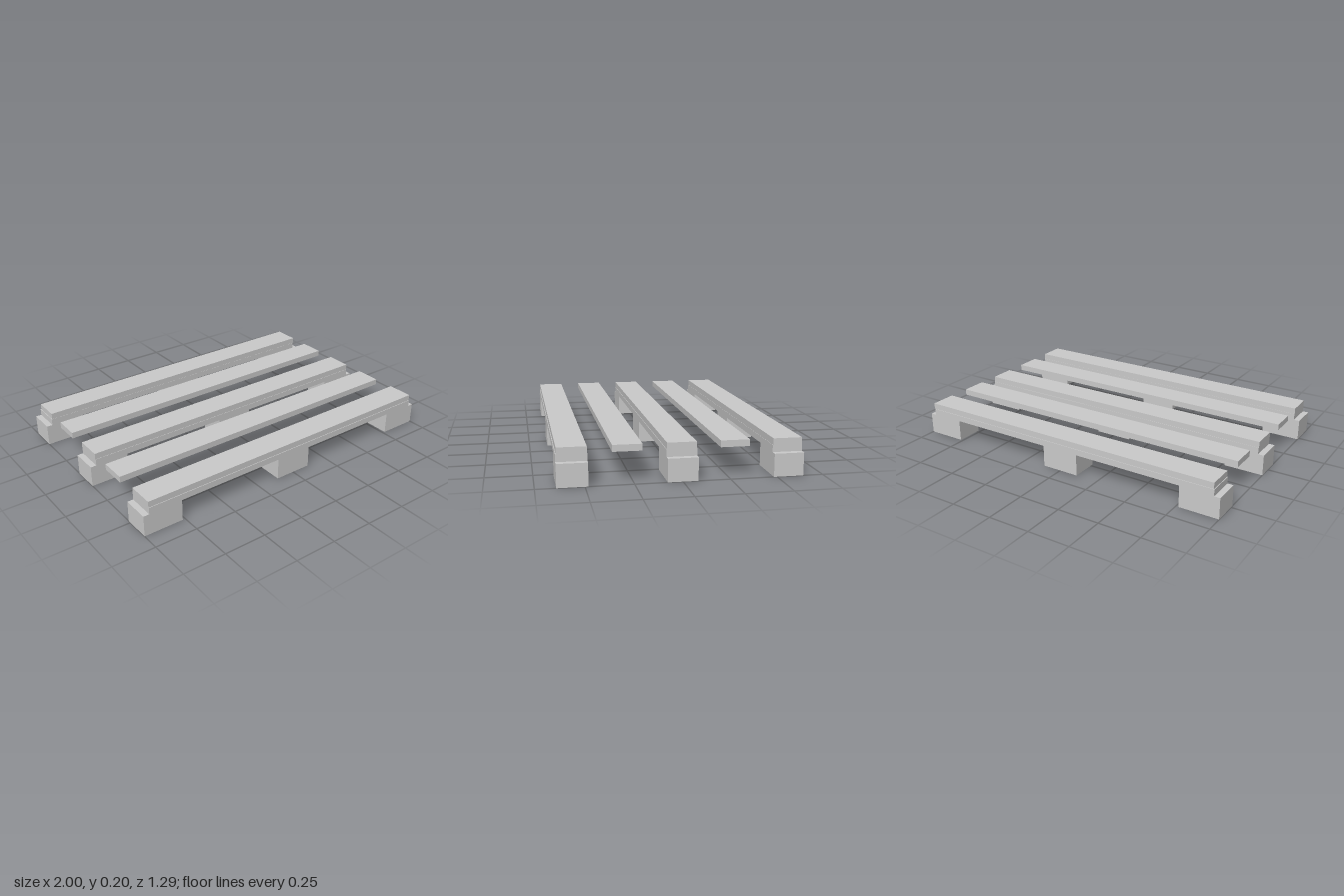
import * as THREE from 'three';

const material = new THREE.MeshStandardMaterial({
  color: 0xcccccc, flatShading: true, side: THREE.DoubleSide,
});

// Side outline of a runner: three feet joined by a beam, notched at both ends
function runnerGeometry(width) {
  const half = [[0, 0.163], [0.965, 0.163], [0.965, 0.124], [1, 0.124], [1, 0],
    [0.766, 0], [0.766, 0.127], [0.114, 0.127], [0.114, 0]];
  const mirrored = half.slice(1).reverse().map(([x, y]) => [-x, y]);
  const shape = new THREE.Shape([...half, ...mirrored].map(([x, y]) => new THREE.Vector2(x, y)));
  const geometry = new THREE.ExtrudeGeometry(shape, { depth: width, bevelEnabled: false });
  return geometry.translate(0, 0, -width / 2);
}

// Deck board: a box with its underside left open
function boardGeometry(length, height, width) {
  const geometry = new THREE.BoxGeometry(length, height, width);
  const index = Array.from(geometry.index.array);
  index.splice(18, 6); // the downward face
  geometry.setIndex(index);
  geometry.clearGroups();
  return geometry;
}

export function createModel() {
  const pallet = new THREE.Group();
  pallet.name = 'pallet';

  const add = (name, geometry, x, y, z) => {
    const mesh = new THREE.Mesh(geometry, material);
    mesh.name = name;
    mesh.position.set(x, y, z);
    pallet.add(mesh);
  };

  // Three notched runners on feet
  const runner = runnerGeometry(0.16);
  for (const z of [-0.563, 0, 0.563]) add('runner', runner, 0, 0, z);

  // Five deck boards, laid with slight lengthwise shifts
  const board = boardGeometry(1.932, 0.036, 0.155);
  const shifts = [0.005, 0.002, -0.001, -0.003, 0];
  shifts.forEach((x, i) => add('deckBoard', board, x, 0.181, (i - 2) * 0.281));

  return pallet;
}
